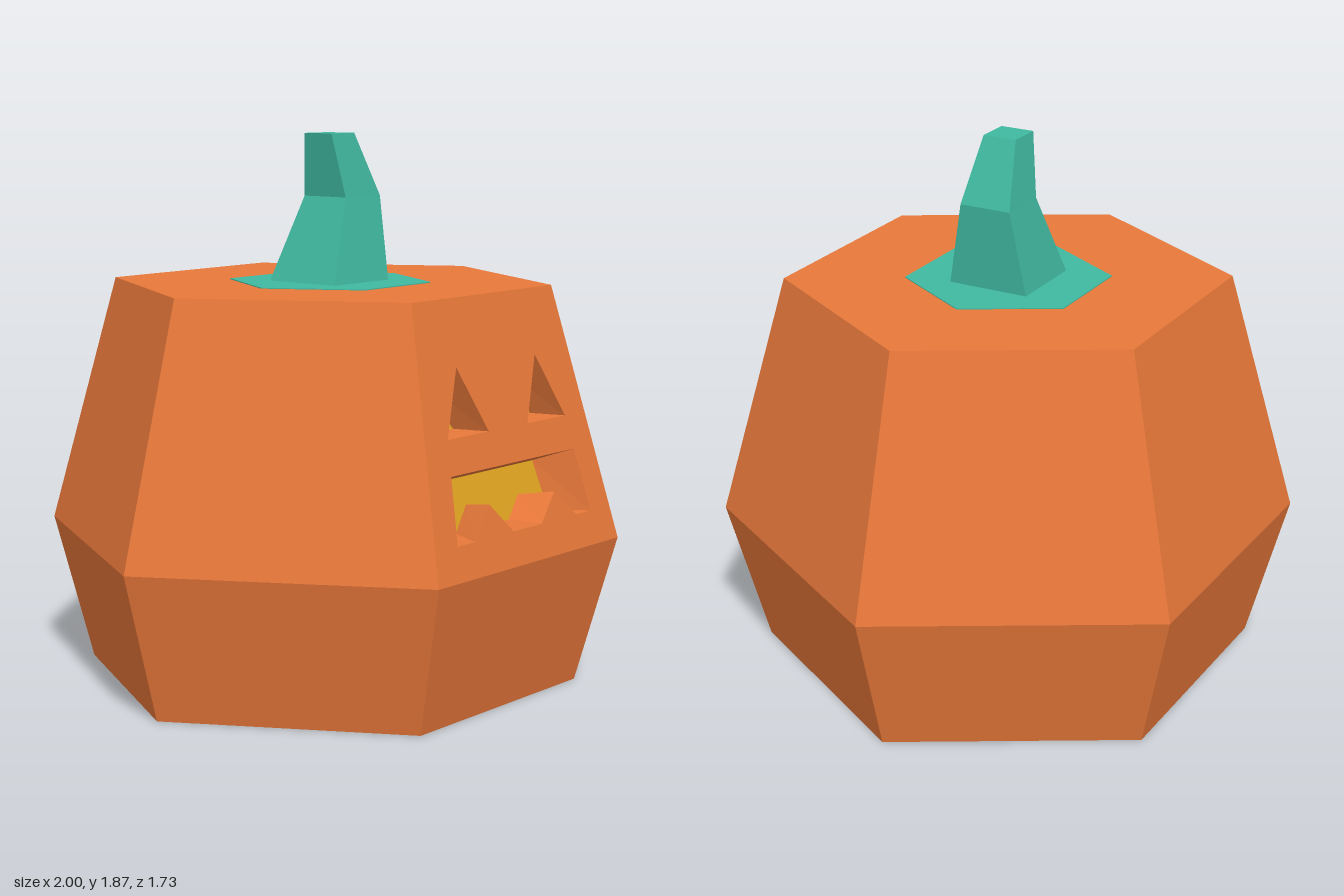
import * as THREE from 'three';

const material = (color) => new THREE.MeshStandardMaterial({ color, flatShading: true });
const ORANGE = material(0xe8783a), YELLOW = material(0xe0a320), TEAL = material(0x40b8a0);

// Flat-shaded skin through rings of [x, y, z]; rings run counter-clockwise seen from the end
function loft(rings, { bottom = false, top = false, skip = () => false } = {}) {
  const pos = [], n = rings[0].length;
  const tri = (a, b, c) => pos.push(...a, ...b, ...c);
  for (let r = 0; r < rings.length - 1; r++) {
    for (let k = 0; k < n; k++) {
      if (skip(r, k)) continue;
      const j = (k + 1) % n, lo = rings[r], hi = rings[r + 1];
      tri(lo[k], lo[j], hi[j]);
      tri(lo[k], hi[j], hi[k]);
    }
  }
  const first = rings[0], last = rings[rings.length - 1];
  for (let k = 1; k < n - 1; k++) {
    if (bottom) tri(first[0], first[k + 1], first[k]);
    if (top) tri(last[0], last[k], last[k + 1]);
  }
  const g = new THREE.BufferGeometry();
  g.setAttribute('position', new THREE.Float32BufferAttribute(pos, 3));
  g.computeVertexNormals();
  return g;
}

// Triangulate a flat shape, then move each vertex by a rule (x, y) => [x, y, z]
function mappedShape(shape, rule) {
  const g = new THREE.ShapeGeometry(shape), p = g.attributes.position;
  for (let i = 0; i < p.count; i++) p.setXYZ(i, ...rule(p.getX(i), p.getY(i)));
  g.computeVertexNormals();
  return g;
}

const toShape = (pts) => new THREE.Shape(pts.map(([x, y]) => new THREE.Vector2(x, y)));

const hexRing = (r, y) => Array.from({ length: 6 }, (_, k) => {
  const a = (k * Math.PI) / 3;
  return [r * Math.cos(a), y, -r * Math.sin(a)];
});

const boxRing = (x0, x1, z, y) => [[x0, y, z], [x1, y, z], [x1, y, -z], [x0, y, -z]];

export function createModel() {
  const group = new THREE.Group();
  const add = (name, geometry, mat, parent = group) => {
    const mesh = new THREE.Mesh(geometry, mat);
    mesh.name = name;
    parent.add(mesh);
    return mesh;
  };

  // Body: hexagonal, widest at MID_Y, with the upper front panel left open for the face
  const MID_Y = 0.505, TOP_Y = 1.365, MID_R = 1, TOP_R = 0.76;
  add('body', loft([hexRing(0.86, 0), hexRing(MID_R, MID_Y), hexRing(TOP_R, TOP_Y)],
    { bottom: true, top: true, skip: (r, k) => r === 1 && k === 4 }), ORANGE);

  // Sloping plane of the face panel
  const faceZ = (y) => Math.sqrt(0.75) *
    (MID_R + ((TOP_R - MID_R) * (y - MID_Y)) / (TOP_Y - MID_Y));
  const onFace = (x, y) => [x, y, faceZ(y)];

  // Openings, counter-clockwise, each tapering inwards about the middle of its base
  const eye = (cx) => ({
    outline: [[cx - 0.108, 0.937], [cx + 0.108, 0.937], [cx, 1.15]],
    cx, baseY: 0.937, taper: 0.69,
  });
  const openings = {
    rightEye: eye(-0.215),
    leftEye: eye(0.215),
    mouth: {
      outline: [[-0.37, 0.615], [-0.28, 0.615], [-0.173, 0.715], [-0.072, 0.615],
        [0.085, 0.615], [0.185, 0.705], [0.285, 0.615], [0.37, 0.615],
        [0.34, 0.825], [-0.34, 0.825]],
      cx: 0, baseY: 0.615, taper: 0.79,
    },
  };

  // Face panel with the openings cut out
  const panel = toShape([[-MID_R / 2, MID_Y], [MID_R / 2, MID_Y],
    [TOP_R / 2, TOP_Y], [-TOP_R / 2, TOP_Y]]);
  for (const o of Object.values(openings)) panel.holes.push(toShape(o.outline));
  add('facePanel', mappedShape(panel, onFace), ORANGE);

  // Recess walls and glowing back of each opening
  const DEPTH = 0.12;
  for (const [name, { outline, cx, baseY, taper }] of Object.entries(openings)) {
    const inside = (x, y) =>
      [cx + (x - cx) * taper, baseY + (y - baseY) * taper, faceZ(y) - DEPTH];
    const recess = new THREE.Group();
    recess.name = name;
    group.add(recess);
    add(name + 'Walls', loft([outline.map((p) => onFace(...p)),
      outline.map((p) => inside(...p))]), ORANGE, recess);
    add(name + 'Glow', mappedShape(toShape(outline), inside), YELLOW, recess);
  }

  // Flat leaf patch and bent square stem
  add('leafPatch', loft([hexRing(0.35, TOP_Y), hexRing(0.35, TOP_Y + 0.003)],
    { top: true }), TEAL);
  add('stem', loft([
    boxRing(-0.145, 0.142, 0.145, TOP_Y),
    boxRing(-0.023, 0.16, 0.092, 1.655),
    boxRing(-0.06, 0.06, 0.06, 1.87),
  ], { top: true }), TEAL);

  return group;
}
